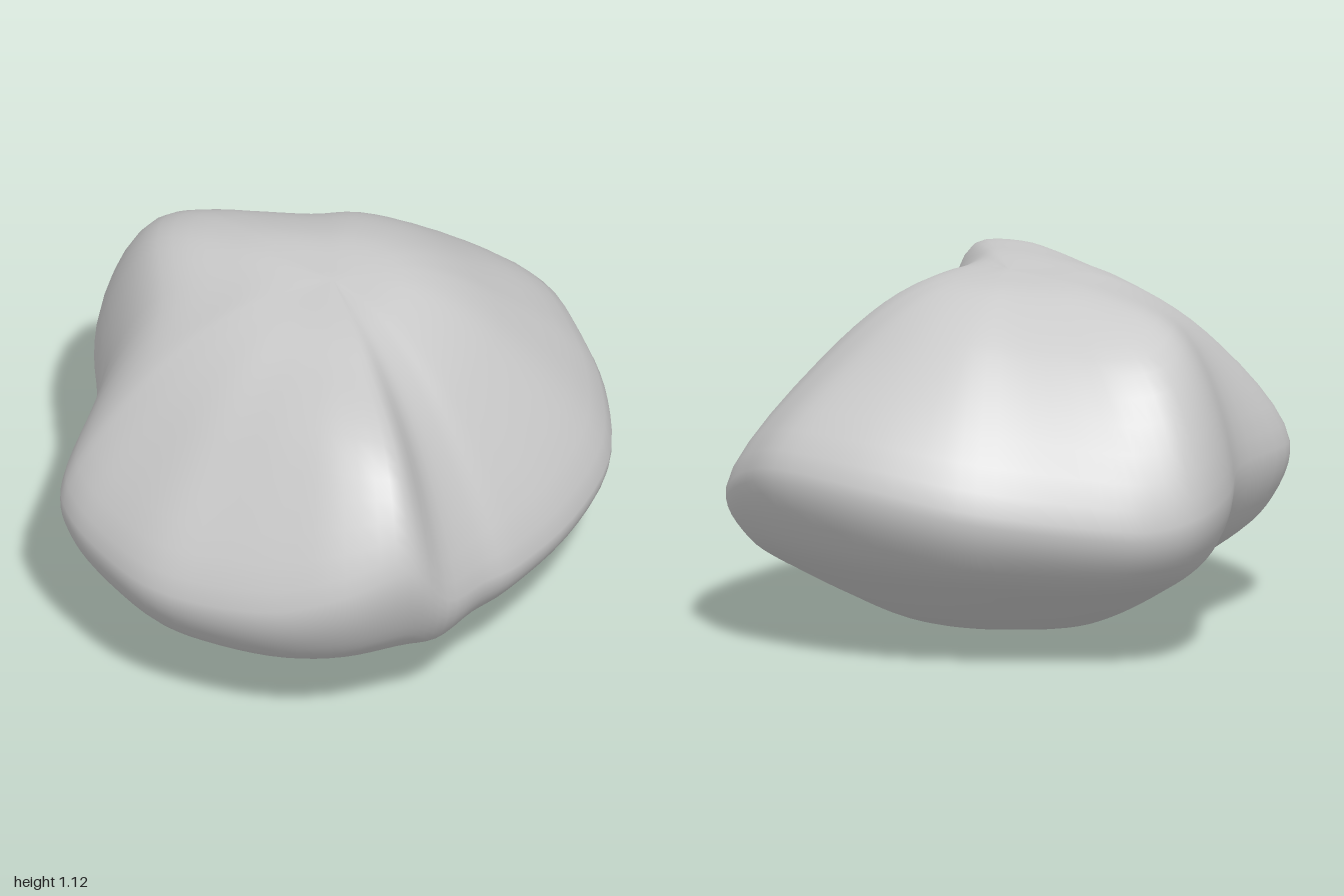
import * as THREE from 'three';
import { mergeVertices } from 'three/addons/utils/BufferGeometryUtils.js';

// Rim stations, clockwise from the back:
// [rim x, rim z, rim height, shoulder fraction of radius, shoulder height]
const STATIONS = [
  [-0.06, -1.0, 0.47, 0.77, 0.92],
  [0.1, -0.965, 0.48, 0.71, 0.93],
  [0.35, -0.85, 0.51, 0.65, 0.95],
  [0.57, -0.74, 0.55, 0.64, 0.96],
  [0.78, -0.53, 0.6, 0.63, 0.95],
  [0.91, -0.25, 0.61, 0.62, 0.93],
  [0.91, 0.0, 0.55, 0.61, 0.92],
  [0.88, 0.18, 0.47, 0.6, 0.91],
  [0.76, 0.4, 0.42, 0.6, 0.9],
  [0.52, 0.6, 0.4, 0.61, 0.9],
  [0.25, 0.75, 0.41, 0.64, 0.9],
  [0.08, 0.82, 0.44, 0.68, 0.88],
  [-0.11, 0.93, 0.5, 0.74, 0.88],
  [-0.28, 1.0, 0.7, 0.83, 1.0],
  [-0.48, 0.94, 0.64, 0.77, 1.02],
  [-0.65, 0.8, 0.56, 0.72, 0.99],
  [-0.8, 0.6, 0.52, 0.7, 0.94],
  [-0.9, 0.4, 0.51, 0.7, 0.9],
  [-0.93, 0.15, 0.51, 0.7, 0.88],
  [-0.92, -0.05, 0.52, 0.7, 0.88],
  [-0.85, -0.2, 0.53, 0.71, 0.9],
  [-0.58, -0.47, 0.54, 0.77, 0.96],
  [-0.4, -0.8, 0.53, 0.79, 0.98],
  [-0.23, -0.975, 0.5, 0.8, 0.94],
];
const TOP = 1.12;

// Profile levels from the underside to the crown: station -> [radius fraction, height]
const LEVELS = [
  () => [0, 0.003],
  () => [0.18, 0.015],
  () => [0.42, 0.065],
  (rim) => [0.72, 0.11 + 0.17 * rim],
  (rim) => [0.92, 0.08 + 0.48 * rim],
  (rim) => [1, rim],
  (rim, f, y) => [f, y],
  (rim, f, y) => [f * 0.5, y + (TOP - y) * 0.84],
  () => [0, TOP],
];

function boulderGeometry(around, up) {
  // One closed smooth ring per level
  const rings = LEVELS.map((level) => {
    const points = STATIONS.map(([x, z, rim, f, y]) => {
      const [k, h] = level(rim, f, y);
      return new THREE.Vector3(x * k, h, z * k);
    });
    return new THREE.CatmullRomCurve3(points, true, 'catmullrom', 0.5);
  });

  // Smooth meridians through the rings
  const positions = [];
  for (let i = 0; i < around; i++) {
    const meridian = new THREE.CatmullRomCurve3(rings.map((ring) => ring.getPoint(i / around)));
    for (let j = 0; j <= up; j++) positions.push(...meridian.getPoint(j / up).toArray());
  }

  const index = [];
  const id = (i, j) => (i % around) * (up + 1) + j;
  for (let i = 0; i < around; i++) {
    for (let j = 0; j < up; j++) {
      const a = id(i, j), b = id(i, j + 1), c = id(i + 1, j + 1), d = id(i + 1, j);
      if (j < up - 1) index.push(a, b, c);
      if (j > 0) index.push(a, c, d);
    }
  }
  const geometry = new THREE.BufferGeometry();
  geometry.setAttribute('position', new THREE.Float32BufferAttribute(positions, 3));
  geometry.setIndex(index);
  const merged = mergeVertices(geometry, 1e-5); // joins the poles
  merged.computeVertexNormals();
  return merged;
}

export function createModel() {
  const group = new THREE.Group();
  group.name = 'rock';
  const boulder = new THREE.Mesh(
    boulderGeometry(96, 48),
    new THREE.MeshStandardMaterial({ color: 0xcccccc })
  );
  boulder.name = 'boulder';
  group.add(boulder);
  return group;
}
